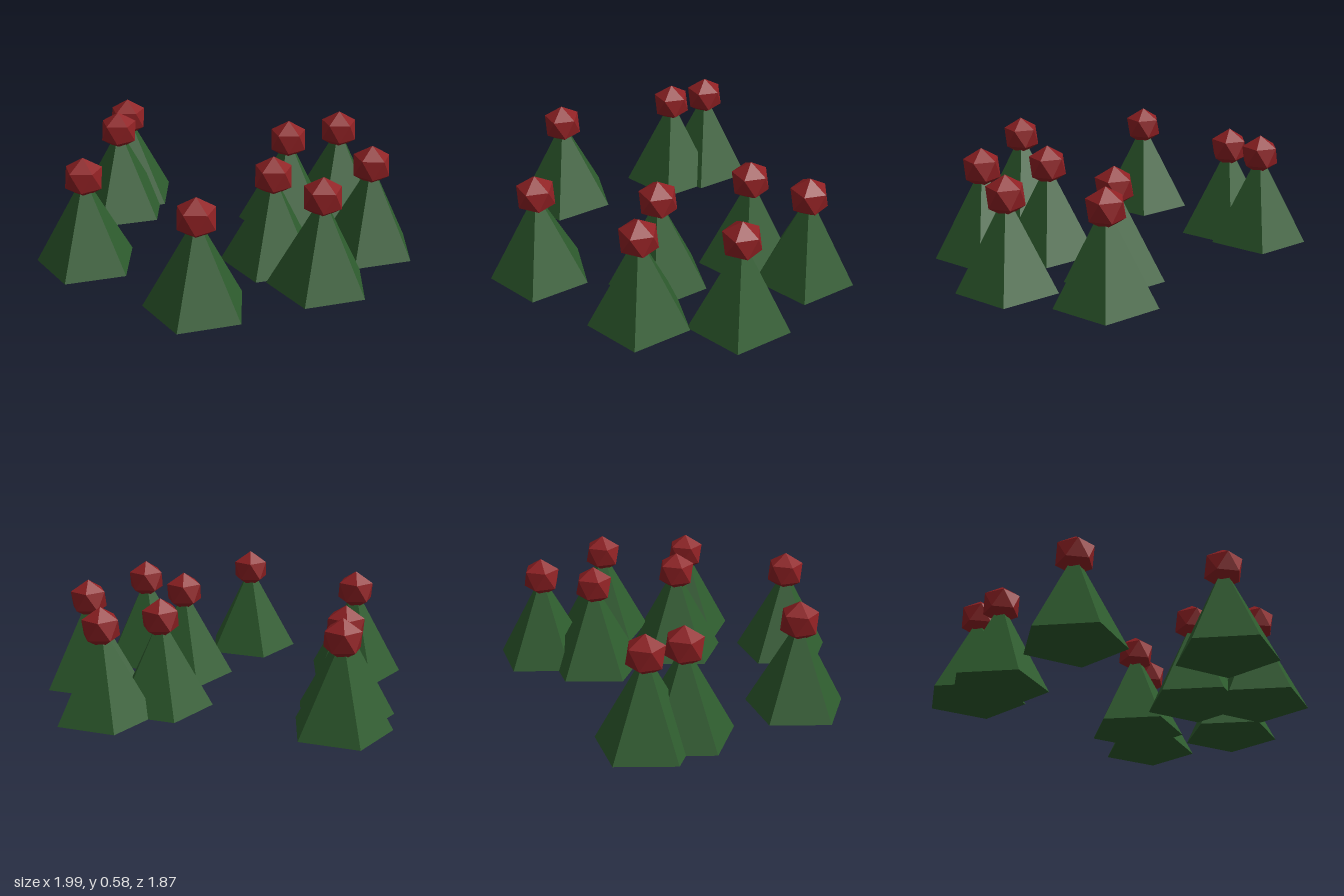
import * as THREE from 'three';

const CONE_RADIUS = 0.267;
const CONE_HEIGHT = 0.49;
const BERRY_RADIUS = 0.108;
const BERRY_Y = 0.477;

// x, z of each plant
const SPOTS = [
  [-0.745, 0.108], [-0.353, -0.672], [-0.445, -0.481],
  [0.421, -0.09], [0.742, -0.153], [0.182, 0.358],
  [0.716, 0.366], [0.33, 0.668], [-0.32, 0.717],
];

export function createModel() {
  const leafGreen = new THREE.MeshStandardMaterial({ color: 0x2e5c2e, flatShading: true });
  leafGreen.name = 'leafGreen';
  const berryRed = new THREE.MeshStandardMaterial({ color: 0x8f2023, flatShading: true });
  berryRed.name = 'berryRed';

  // five-sided cone standing on the ground, one corner to the back
  const coneGeometry = new THREE.ConeGeometry(CONE_RADIUS, CONE_HEIGHT, 5);
  coneGeometry.rotateY(Math.PI).translate(0, CONE_HEIGHT / 2, 0);

  // icosahedron turned so that one corner points straight up
  const berryGeometry = new THREE.IcosahedronGeometry(BERRY_RADIUS, 0);
  berryGeometry.rotateX(-Math.atan((1 + Math.sqrt(5)) / 2)).rotateY(Math.PI / 2);
  berryGeometry.translate(0, BERRY_Y, 0);

  const model = new THREE.Group();
  model.name = 'berryPlants';
  SPOTS.forEach(([x, z], i) => {
    const plant = new THREE.Group();
    plant.name = `plant${i + 1}`;
    const foliage = new THREE.Mesh(coneGeometry, leafGreen);
    foliage.name = 'foliage';
    const berry = new THREE.Mesh(berryGeometry, berryRed);
    berry.name = 'berry';
    plant.add(foliage, berry);
    plant.position.set(x, 0, z);
    model.add(plant);
  });
  return model;
}
